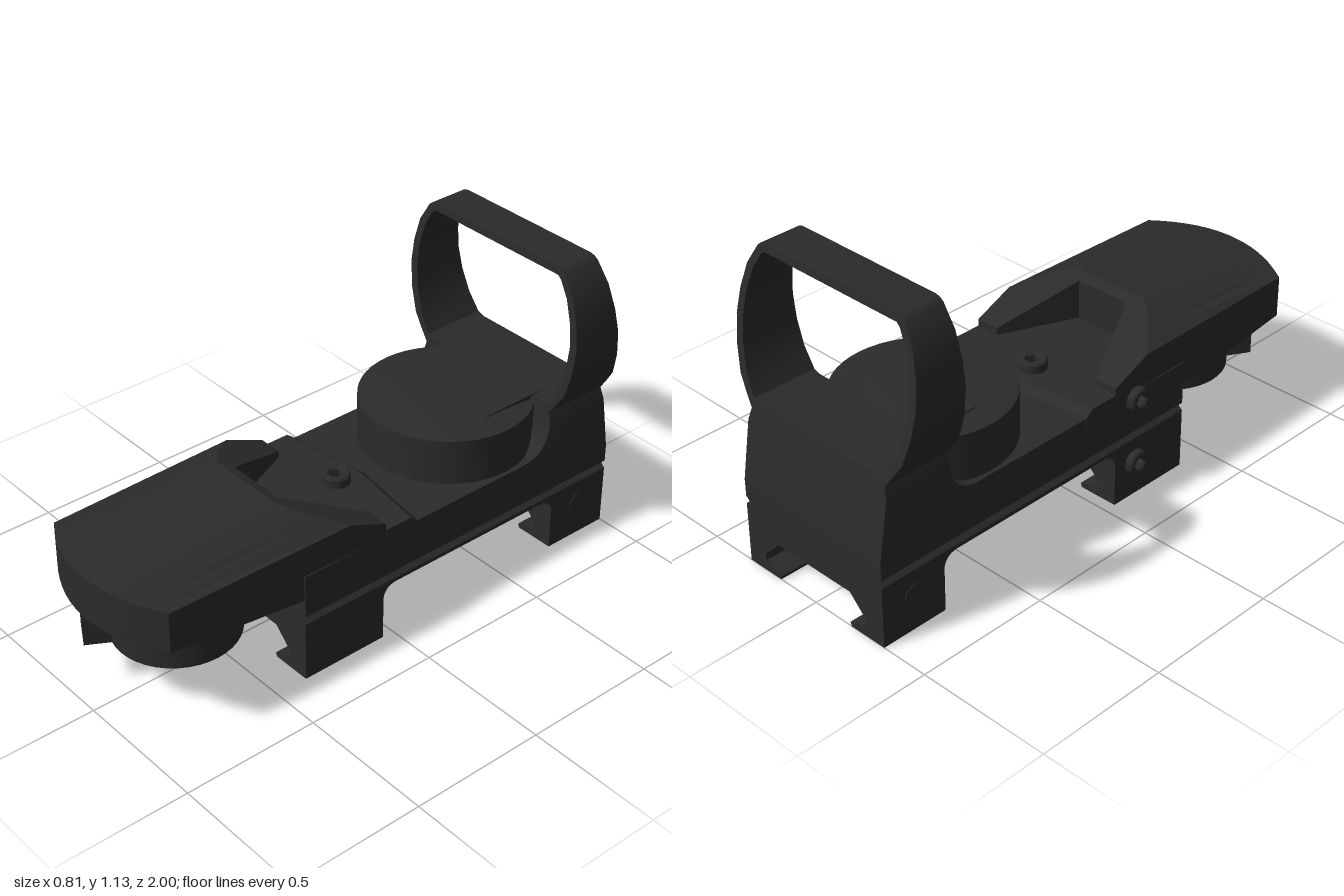
import * as THREE from 'three';
import { toCreasedNormals } from 'three/addons/utils/BufferGeometryUtils.js';

const black = new THREE.MeshStandardMaterial({ color: 0x2b2b2b });
black.name = 'matte black';

const shapeOf = (pts) => new THREE.Shape(pts.map(([a, b]) => new THREE.Vector2(a, b)));
const mirrored = (half) => [...half, ...half.slice().reverse().map(([x, y]) => [-x, y])];

// Extrude an (x, y) outline from z0 to z1
function extrudeZ(shape, z0, z1) {
  return new THREE.ExtrudeGeometry(shape, { depth: z1 - z0, bevelEnabled: false, curveSegments: 8 }).translate(0, 0, z0);
}
// Extrude a (z, y) outline across the width, centred on x = 0
function extrudeX(shape, width) {
  return extrudeZ(shape, -width / 2, width / 2).rotateY(-Math.PI / 2);
}

// Join (z, y) profiles at rising x into a closed solid
function loftX(xs, profile) {
  const rings = xs.map((x) => profile(x).map(([z, y]) => new THREE.Vector3(x, y, z)));
  const pos = [];
  const tri = (...vs) => vs.forEach((v) => pos.push(v.x, v.y, v.z));
  for (let i = 0; i < rings.length - 1; i++) {
    const a = rings[i], b = rings[i + 1];
    a.forEach((p, j) => {
      const k = (j + 1) % a.length;
      tri(p, b[j], b[k]);
      tri(p, b[k], a[k]);
    });
  }
  [rings[0], rings[rings.length - 1]].forEach((r, end) => {
    const faces = THREE.ShapeUtils.triangulateShape(r.map((v) => new THREE.Vector2(v.z, v.y)), []);
    faces.forEach(([a, b, c]) => (end ? tri(r[a], r[c], r[b]) : tri(r[a], r[b], r[c])));
  });
  const g = new THREE.BufferGeometry();
  g.setAttribute('position', new THREE.Float32BufferAttribute(pos, 3));
  return g;
}

// Screw head with a hexagonal socket, axis along +z
function socketScrew(r, height) {
  const s = new THREE.Shape().absarc(0, 0, r, 0, Math.PI * 2);
  const hex = [];
  for (let i = 0; i < 6; i++) hex.push(new THREE.Vector2(Math.cos(i * Math.PI / 3), Math.sin(i * Math.PI / 3)).multiplyScalar(r * 0.5));
  s.holes.push(new THREE.Path(hex));
  return new THREE.ExtrudeGeometry(s, {
    depth: height - 0.006, bevelThickness: 0.006, bevelSize: 0.006, bevelOffset: -0.006, bevelSegments: 1, curveSegments: 16,
  });
}

export function createModel() {
  const model = new THREE.Group();
  const add = (name, geometry, crease = 0.5) => {
    const mesh = new THREE.Mesh(toCreasedNormals(geometry, crease), black);
    mesh.name = name;
    model.add(mesh);
    return mesh;
  };

  // Clamp feet with the rail channel cut through them
  const foot = shapeOf(mirrored([[0.32, 0.215], [0.32, 0], [0.17, 0], [0.165, 0.015], [0.24, 0.04], [0.24, 0.065], [0.17, 0.135]]));
  add('frontFoot', extrudeZ(foot, 0.045, 0.38));
  add('rearFoot', extrudeZ(foot, -1, -0.74));

  // Rounded corners where the feet meet the underside
  for (const [name, z, d] of [['frontFillet', 0.046, -1], ['rearFillet', -0.741, 1]]) {
    const s = new THREE.Shape();
    s.moveTo(z, 0.15);
    s.quadraticCurveTo(z, 0.21, z + d * 0.06, 0.21);
    s.lineTo(z + d * 0.06, 0.215);
    s.lineTo(z, 0.215);
    add(name, extrudeX(s, 0.64));
  }

  // Long base with a V groove along both sides
  const base = shapeOf(mirrored([[0.32, 0.21], [0.32, 0.225], [0.304, 0.24], [0.32, 0.255], [0.32, 0.32]]));
  add('groovedBase', extrudeZ(base, -1, 0.38));

  // Deck, curving up into the window frame
  const deck = new THREE.Shape();
  deck.moveTo(0.379, 0.3);
  deck.lineTo(0.379, 0.415);
  deck.lineTo(-0.59, 0.415);
  deck.quadraticCurveTo(-0.695, 0.415, -0.703, 0.53);
  deck.lineTo(-0.8, 0.53);
  deck.lineTo(-0.9, 0.3);
  add('deck', extrudeX(deck, 0.638));

  // Crowned hood with bowed nose, sloping back and tapered pocket
  const half = [0.06, 0.11, 0.15, 0.19, 0.23, 0.27, 0.32];
  const xs = [...half.map((x) => -x).reverse(), 0, ...half];
  const clamp = THREE.MathUtils.clamp;
  const slopeY = (z) => 0.605 - 0.435 * (0.36 - z);
  const hood = loftX(xs, (x) => {
    const a = Math.abs(x), q = (a / 0.32) ** 2;
    const nose = 1 - 0.1 * q;
    const peak = 0.36 - 0.17 * clamp((a - 0.15) / 0.17, 0, 1) ** 1.3;
    const wall = 0.32 - 0.28 * clamp((a - 0.11) / 0.12, 0, 1);
    const end = -0.145 + 0.045 * (a / 0.32);
    return [
      [end, 0.26], [0.38, 0.26], [0.38, 0.322], [nose, 0.375], [nose, 0.54 - 0.012 * q],
      [peak, slopeY(peak)], [wall, slopeY(wall)], [wall, 0.44], [end + 0.03, 0.44], [end, 0.416],
    ];
  });
  const hp = hood.attributes.position;
  for (let i = 0; i < hp.count; i++) hp.setX(i, hp.getX(i) * (1 - 0.045 * clamp((hp.getZ(i) - 0.2) / 0.7, 0, 1)));
  add('hood', hood, 0.3);

  // Brightness knob with its pointer tab
  const knob = new THREE.CylinderGeometry(0.22, 0.22, 0.185, 40).translate(0, 0.2675, 0.66);
  add('knob', knob);
  const tab = add('knobTab', new THREE.BoxGeometry(0.115, 0.14, 0.16).translate(0, 0, 0.225));
  tab.position.set(0, 0.25, 0.66);
  tab.rotation.y = -Math.PI / 6;

  // Round lens housing joined to the window frame
  const housing = [[0.305, 0.4], [0.305, 0.585], [0.18, 0.605], [0, 0.605]].map(([r, y]) => new THREE.Vector2(r, y));
  add('lensHousing', new THREE.LatheGeometry(housing, 48).translate(0, 0, -0.515), 0.4);
  add('housingNeck', new THREE.BoxGeometry(0.44, 0.19, 0.25).translate(0, 0.509, -0.625));

  // Window frame, thicker toward its base
  const frame = shapeOf(mirrored([
    [0.32, 0.315], [0.32, 0.53], [0.307, 0.575], [0.335, 0.615], [0.37, 0.67], [0.395, 0.76], [0.405, 0.86],
    [0.395, 0.95], [0.37, 1.04], [0.325, 1.115], [0.312, 1.125], [0.295, 1.13],
  ]));
  frame.holes.push(new THREE.Path(mirrored([
    [0.275, 0.6], [0.3, 0.61], [0.34, 0.68], [0.366, 0.77], [0.375, 0.86], [0.367, 0.945], [0.343, 1.03], [0.31, 1.088], [0.295, 1.1],
  ]).map(([x, y]) => new THREE.Vector2(x, y))));
  const frameGeo = extrudeZ(frame, 0, 1);
  const fp = frameGeo.attributes.position;
  for (let i = 0; i < fp.count; i++) {
    const t = (1.13 - fp.getY(i)) / 0.81;
    fp.setZ(i, THREE.MathUtils.lerp(-0.87 - 0.13 * t, -0.72 + 0.02 * t, fp.getZ(i)));
  }
  add('windowFrame', frameGeo);

  // Adjustment screw on the deck and two bolts on one side
  const deckScrew = add('deckScrew', socketScrew(0.05, 0.035));
  deckScrew.rotation.x = -Math.PI / 2;
  deckScrew.position.set(0, 0.44, -0.02);
  for (const [name, y] of [['upperBolt', 0.385], ['lowerBolt', 0.135]]) {
    const bolt = add(name, socketScrew(0.045, 0.029));
    bolt.rotation.y = -Math.PI / 2;
    bolt.position.set(-0.319, y, 0.14);
  }

  // Cross pin ends in the rear foot
  for (const side of [-1, 1]) {
    const pin = add(side > 0 ? 'leftPin' : 'rightPin', new THREE.CylinderGeometry(0.038, 0.038, 0.006, 24));
    pin.rotation.z = Math.PI / 2;
    pin.position.set(side * 0.32, 0.135, -0.87);
  }
  return model;
}
